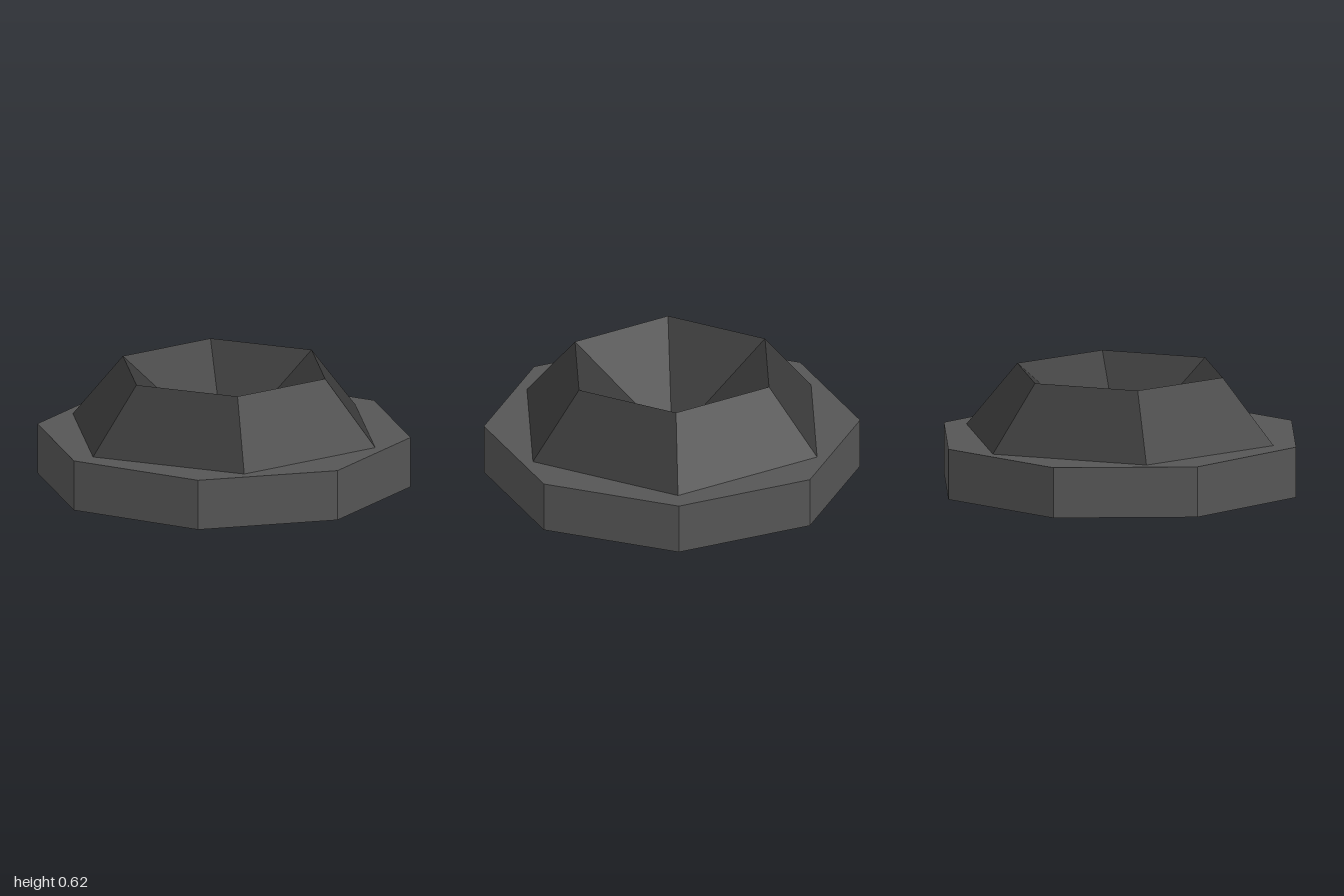
import * as THREE from 'three';

const BASE_TOP = 0.272;
const RIM_TOP = 0.62;

function part(name, geometry, color) {
  const material = new THREE.MeshStandardMaterial({ color, flatShading: true });
  const mesh = new THREE.Mesh(geometry, material);
  mesh.name = name;
  return mesh;
}

export function createModel() {
  const model = new THREE.Group();
  model.name = 'moundWithPit';

  // Eight-sided slab with corners on the x and z axes
  const slab = part('baseSlab', new THREE.CylinderGeometry(1, 1, BASE_TOP, 8), 0x555555);
  slab.position.y = BASE_TOP / 2;
  model.add(slab);

  // Six-sided crater ring: sloped outer wall, sharp rim, funnel inside
  const profile = [
    new THREE.Vector2(0.872, BASE_TOP),
    new THREE.Vector2(0.583, RIM_TOP),
    new THREE.Vector2(0.135, BASE_TOP),
  ];
  const ring = new THREE.LatheGeometry(profile, 6, Math.PI / 2);
  model.add(part('craterRing', ring, 0x3a3a3a));

  return model;
}
